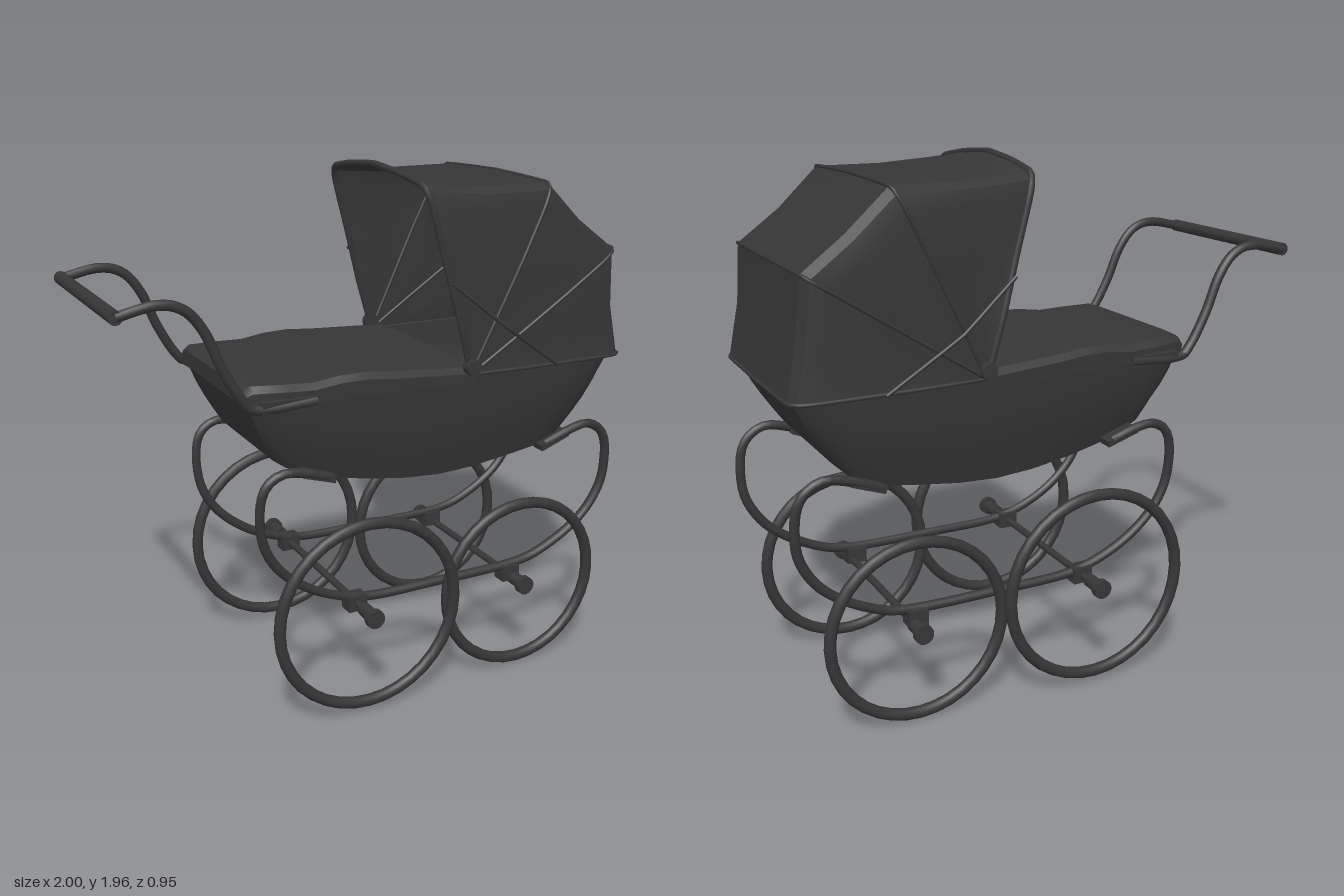
import * as THREE from 'three';
import { toCreasedNormals } from 'three/addons/utils/BufferGeometryUtils.js';

const V = (x, y, z) => new THREE.Vector3(x, y, z);
const charcoal = new THREE.MeshStandardMaterial({ color: 0x363636, side: THREE.DoubleSide });
charcoal.name = 'charcoal';

export function createModel() {
  const model = new THREE.Group();
  model.name = 'pram';

  const add = (name, geometry, parent = model) => {
    const mesh = new THREE.Mesh(geometry, charcoal);
    mesh.name = name;
    parent.add(mesh);
    return mesh;
  };

  // Skin a grid of cross-section points
  const loft = (rows, closed = false, crease = 0.6) => {
    const n = rows[0].length, index = [];
    for (let r = 0; r < rows.length - 1; r++) {
      for (let c = 0; c < (closed ? n : n - 1); c++) {
        const a = r * n + c, b = r * n + (c + 1) % n;
        index.push(a, b, b + n, a, b + n, a + n);
      }
    }
    const g = new THREE.BufferGeometry().setFromPoints(rows.flat());
    g.setIndex(index);
    return toCreasedNormals(g, crease);
  };

  const tube = (name, points, radius, segments = 40, parent = model, tension = 0.5) =>
    add(name, new THREE.TubeGeometry(
      new THREE.CatmullRomCurve3(points, false, 'catmullrom', tension), segments, radius, 8), parent);

  // Rod across the width of the pram
  const crossRod = (name, x, y, z, length, radius, parent = model) => {
    const rod = add(name, new THREE.CylinderGeometry(radius, radius, length, 14), parent);
    rod.rotation.x = Math.PI / 2;
    rod.position.set(x, y, z);
    return rod;
  };

  // Linear interpolation through [x, value] pairs
  const sample = (table, x) => {
    for (let i = 1; i < table.length; i++) {
      const [x0, v0] = table[i - 1], [x1, v1] = table[i];
      if (x <= x1) return THREE.MathUtils.lerp(v0, v1, Math.max(0, (x - x0) / (x1 - x0)));
    }
    return table[table.length - 1][1];
  };

  // Body tub: plan outlines from the rim down to the curved keel
  const rimWidth = [[-0.54, 0.31], [-0.5, 0.335], [0, 0.36], [0.4, 0.375], [0.85, 0.37], [0.93, 0.355], [0.97, 0.32]];
  const keel = [[-0.42, 0.99], [-0.36, 0.95], [-0.22, 0.905], [0, 0.862], [0.2, 0.847], [0.4, 0.86], [0.68, 0.9], [0.75, 0.925], [0.82, 0.99]];
  const steps = [0, 0.03, 0.08, 0.16, 0.28, 0.4, 0.52, 0.64, 0.76, 0.86, 0.93, 0.97, 1];
  const side = t => steps.map(f => {
    const xTop = -0.54 + 1.51 * f, xLow = -0.42 + 1.24 * f;
    const wTop = sample(rimWidth, xTop), bulge = 0.02 * Math.sin(Math.PI * t);
    return V(THREE.MathUtils.lerp(xTop, xLow, t) + (f - 0.5) * bulge,
      THREE.MathUtils.lerp(1.25, sample(keel, xLow), t),
      wTop - 0.065 * t + bulge * 0.6);
  });
  const mirrored = pts => pts.map(p => V(p.x, p.y, -p.z)).reverse();
  const rings = [0, 0.2, 0.4, 0.6, 0.8, 1].map(t => [...side(t), ...mirrored(side(t))]);
  add('bodyTub', loft(rings, true));
  const keelSide = side(1);
  add('bodyFloor', loft([keelSide, keelSide.map(p => V(p.x, p.y, -p.z))]));

  // Apron cover with a turned-down edge
  const apronY = [[-0.54, 1.295], [-0.3, 1.285], [-0.15, 1.305], [0, 1.29], [0.33, 1.27]];
  const apronRow = (x, drop) => {
    const w = sample(rimWidth, x) + 0.012, y = sample(apronY, x) - drop;
    const half = [V(x, 1.215, w), V(x, Math.max(y - 0.025, 1.216), w), V(x, y - 0.004, w - 0.025), V(x, y, w - 0.1)];
    return [...half, ...mirrored(half)];
  };
  add('apron', loft([apronRow(-0.545, 0.075), apronRow(-0.545, 0.015),
    ...[-0.52, -0.4, -0.3, -0.2, -0.1, 0, 0.1, 0.22, 0.33].map(x => apronRow(x, 0))]));

  // Folding hood: arched ribs fanned out from a pivot on each side
  const rib = (tx, ty, w, crown, pinch = 0) => {
    const dir = V(tx - 0.3, ty - 1.245, 0);
    const at = (f, z) => V(0.3 + dir.x * f, 1.245 + dir.y * f, z);
    const lift = 1 + crown / dir.length();
    const half = [at(0, 0.385), at(0.3, 0.392 - pinch), at(0.6, w + 0.005 - pinch), at(0.88, w),
      at(0.965, w - 0.012), at(1, w - 0.045), at(1 + (lift - 1) * 0.6, w * 0.5)];
    return [...half, at(lift, 0), ...mirrored(half)];
  };
  const ribs = [
    rib(0.112, 1.925, 0.375, 0.04),
    rib(0.19, 1.918, 0.378, 0.012, 0.006),
    rib(0.38, 1.905, 0.385, 0.006, 0.014),
    rib(0.62, 1.905, 0.393, 0.012),
    rib(0.77, 1.765, 0.385, 0.004, 0.014),
    rib(0.925, 1.65, 0.39, 0.014),
    rib(0.945, 1.44, 0.378, 0.004, 0.01),
    rib(0.985, 1.24, 0.385, 0.004),
  ];
  const hood = new THREE.Group();
  hood.name = 'hood';
  model.add(hood);
  add('hoodFabric', loft(ribs, false, 0.5), hood);
  [0, 3, 5, 7].forEach(i => tube('hoodRib', ribs[i], i ? 0.007 : 0.012, 70, hood, 0.2));

  // Wheels, each with a tyre and hub
  const wheel = (name, x, y, z, radius, s) => {
    const g = new THREE.Group();
    g.name = name;
    g.position.set(x, y, s * z);
    add('tyre', new THREE.TorusGeometry(radius - 0.022, 0.022, 10, 36), g);
    crossRod('hub', 0, 0, 0, 0.09, 0.026, g);
    crossRod('hubCap', 0, 0, s * 0.04, 0.025, 0.036, g);
    model.add(g);
  };

  for (const s of [1, -1]) {
    const label = s > 0 ? 'left' : 'right';
    wheel(label + 'LargeWheel', -0.125, 0.405, 0.425, 0.378, s);
    wheel(label + 'SmallWheel', 0.565, 0.362, 0.365, 0.35, s);

    // Looping carriage spring
    const spring = [[-0.24, 0.925], [-0.33, 0.955], [-0.42, 0.965], [-0.485, 0.92], [-0.505, 0.82], [-0.485, 0.69],
      [-0.41, 0.575], [-0.27, 0.475], [-0.08, 0.415], [0.2, 0.41], [0.56, 0.415], [0.72, 0.455], [0.88, 0.555],
      [0.965, 0.68], [0.98, 0.81], [0.955, 0.91], [0.88, 0.96], [0.79, 0.945], [0.68, 0.905]];
    tube(label + 'Spring', spring.map(([x, y]) => V(x, y, s * (0.305 + Math.max(0, y - 0.42) * 0.05))), 0.018, 90);

    // Brackets joining springs to body and axles
    [[-0.28, 0.935, 0.4, -0.3], [0.72, 0.915, 0.4, 0.35]].forEach(([x, y, , tilt]) => {
      const pad = add(label + 'SpringPad', new THREE.BoxGeometry(0.13, 0.025, 0.06));
      pad.position.set(x, y, s * 0.315);
      pad.rotation.z = tilt;
    });
    [[-0.125, 0.405], [0.55, 0.385]].forEach(([x, y]) => {
      add(label + 'AxleClamp', new THREE.BoxGeometry(0.075, 0.06, 0.06)).position.set(x, y, s * 0.305);
    });

    // Push handle arm
    tube(label + 'HandleArm', [V(-0.3, 1.225, s * 0.36), V(-0.5, 1.215, s * 0.352), V(-0.56, 1.25, s * 0.348),
      V(-0.63, 1.37, s * 0.345), V(-0.685, 1.5, s * 0.342), V(-0.75, 1.58, s * 0.34),
      V(-0.84, 1.605, s * 0.34), V(-0.975, 1.58, s * 0.34)], 0.018, 48);
    add(label + 'HandleBracket', new THREE.BoxGeometry(0.2, 0.04, 0.03)).position.set(-0.4, 1.222, s * 0.352);

    // Jointed hood stay and its pivot knob
    tube(label + 'HoodStay', [V(0.2, 1.59, s * 0.405), V(0.41, 1.42, s * 0.437), V(0.67, 1.24, s * 0.4)], 0.007, 24, hood, 0.1);
    crossRod(label + 'HoodKnob', 0.3, 1.275, s * 0.395, 0.035, 0.03, hood);
  }

  // Axles and handle grip
  crossRod('largeAxle', -0.125, 0.405, 0, 0.84, 0.014);
  crossRod('smallAxle', 0.565, 0.365, 0, 0.74, 0.014);
  crossRod('handleGrip', -0.975, 1.58, 0, 0.7, 0.024);

  return model;
}
